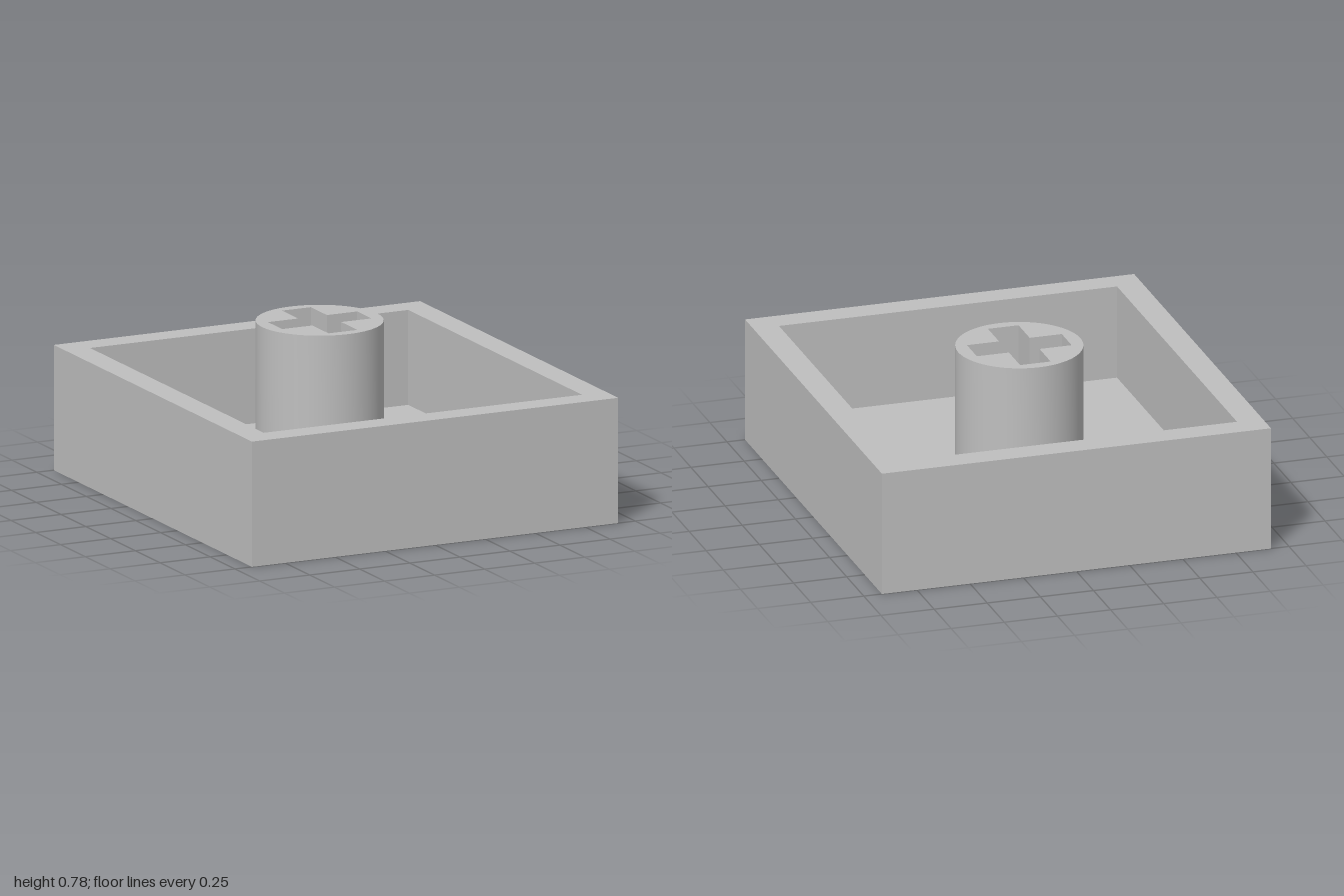
import * as THREE from 'three';
import { toCreasedNormals } from 'three/addons/utils/BufferGeometryUtils.js';

const HALF_X = 0.915, HALF_Z = 1;
const FLOOR_Y = 0.14, RIM_Y = 0.578, POST_TOP = 0.777, ENGRAVE = 0.06;
const POST_Z = -0.165;

// Point lists in plan (second coordinate is -z)
const rect = (hx, hz) => [[-hx, -hz], [hx, -hz], [hx, hz], [-hx, hz]].map(p => new THREE.Vector2(...p));

function ring(radiusAt, cy = 0, n = 96) {
  return Array.from({ length: n }, (_, i) => {
    const a = (i / n) * Math.PI * 2;
    const r = radiusAt(a);
    return new THREE.Vector2(Math.cos(a) * r, cy + Math.sin(a) * r);
  });
}

// Eight-toothed gear outline with softened flanks
function gear(root, tip) {
  const mid = (root + tip) / 2, amp = (tip - root) / 2;
  return ring(a => mid - amp * Math.tanh(2.2 * Math.cos(8 * a)) / Math.tanh(2.2), 0, 192);
}

// Plus-shaped outline
function cross(hx, hy, w, cy) {
  const pts = [[w, -hy], [w, -w], [hx, -w], [hx, w], [w, w], [w, hy],
    [-w, hy], [-w, w], [-hx, w], [-hx, -w], [-w, -w], [-w, -hy]];
  return pts.map(([x, y]) => new THREE.Vector2(x, y + cy));
}

function plan(outline, hole) {
  const s = new THREE.Shape(outline);
  if (hole) s.holes.push(new THREE.Path(hole));
  return s;
}

export function createModel() {
  const group = new THREE.Group();
  const grey = new THREE.MeshStandardMaterial({ color: 0xbfbfbf });
  grey.name = 'grey plastic';

  // Extrudes plan shapes upward between two heights
  function add(name, shapes, y0, y1) {
    const geo = new THREE.ExtrudeGeometry(shapes, { depth: y1 - y0, bevelEnabled: false });
    geo.rotateX(-Math.PI / 2);
    geo.translate(0, y0, 0);
    const mesh = new THREE.Mesh(toCreasedNormals(geo, 0.5), grey);
    mesh.name = name;
    group.add(mesh);
  }

  // Underside layer: recessed gear band and hub ring between flush islands
  add('engravedUnderside', [
    plan(rect(HALF_X, HALF_Z), gear(0.5, 0.66)),
    plan(gear(0.38, 0.5), ring(() => 0.295)),
    plan(ring(() => 0.158)),
  ], 0, ENGRAVE);

  // Tray floor and surrounding walls
  add('floor', plan(rect(HALF_X, HALF_Z)), ENGRAVE, FLOOR_Y);
  add('walls', plan(rect(HALF_X, HALF_Z), rect(0.795, 0.877)), FLOOR_Y, RIM_Y);

  // Round post with cross-shaped socket
  add('post', plan(ring(() => 0.287, -POST_Z), cross(0.223, 0.235, 0.072, -POST_Z)), FLOOR_Y, POST_TOP);

  return group;
}
